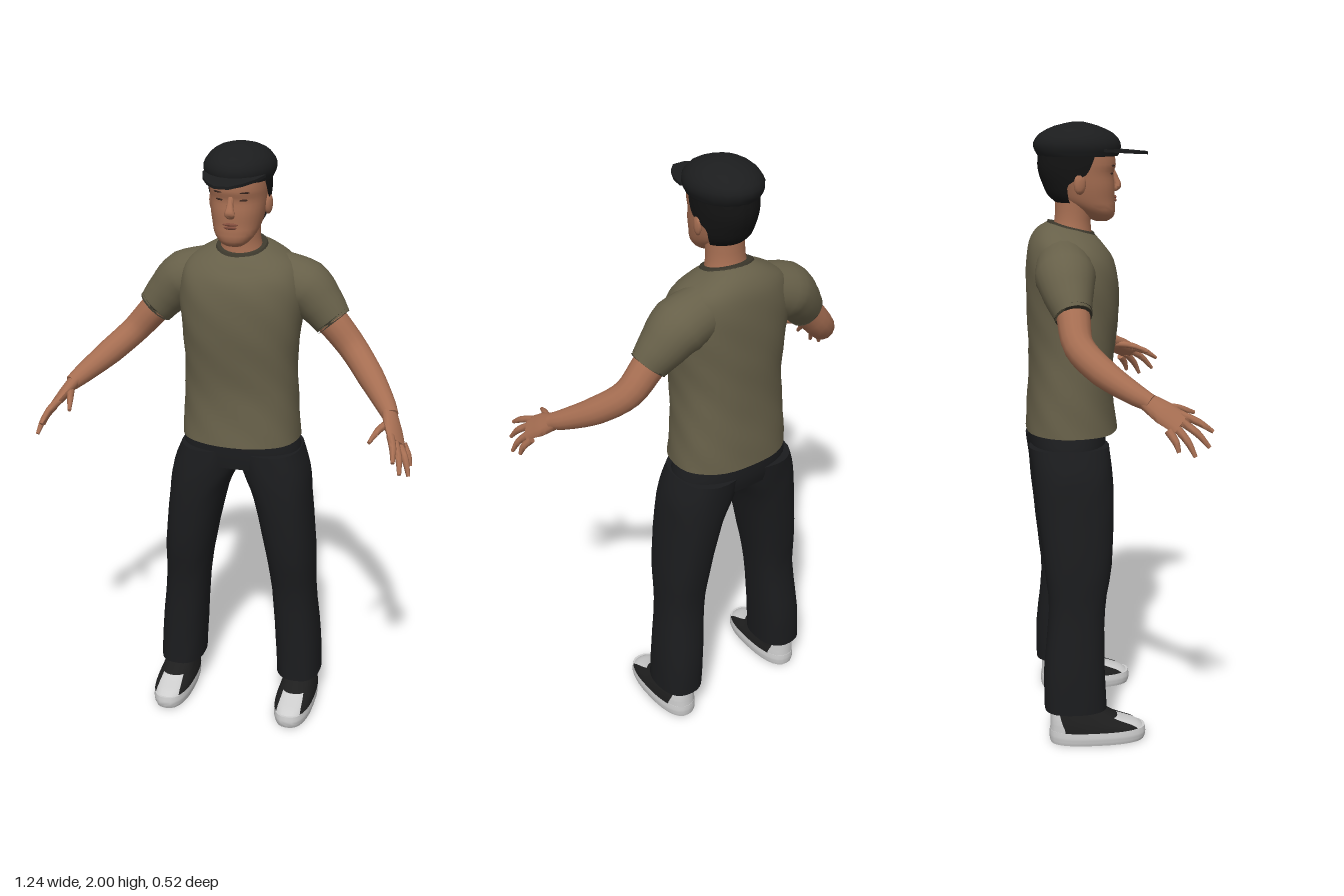
import * as THREE from 'three';
import { toCreasedNormals } from 'three/addons/utils/BufferGeometryUtils.js';

const material = (name, color) => {
  const m = new THREE.MeshStandardMaterial({ color, side: THREE.DoubleSide });
  m.name = name;
  return m;
};

// Skins a list of rings; rings run counterclockwise around the direction of travel.
function skin(rings, closed, caps) {
  const n = rings[0].length, pts = rings.flat(), idx = [];
  for (let r = 0; r < rings.length - 1; r++) {
    for (let i = 0; i < (closed ? n : n - 1); i++) {
      const a = r * n + i, b = r * n + (i + 1) % n;
      idx.push(a, b, a + n, b, b + n, a + n);
    }
  }
  if (caps) [0, rings.length - 1].forEach((r, end) => {
    const c = new THREE.Vector3();
    rings[r].forEach(p => c.addScaledVector(p, 1 / n));
    pts.push(c);
    for (let i = 0; i < n; i++) {
      const a = r * n + i, b = r * n + (i + 1) % n;
      idx.push(pts.length - 1, ...(end ? [a, b] : [b, a]));
    }
  });
  const g = new THREE.BufferGeometry().setFromPoints(pts);
  g.setIndex(idx);
  return g;
}

// Upright loft. Row: y, centre x, front z, back z, half width, tilt, arc start, arc end (degrees from the front).
function loft(rows, { seg = 28, steps = 3, power = 2, fold = 0 } = {}) {
  const full = rows.map(r => [...r, ...[0, 0, 0, 0, 0, 0, 0, 360].slice(r.length)]);
  const closed = rows[0].length < 7, rings = [];
  const e = 2 / power, pow = v => Math.sign(v) * Math.abs(v) ** e;
  const at = k => full[Math.max(0, Math.min(full.length - 1, k))];
  for (let s = 0; s <= (rows.length - 1) * steps; s++) {
    const k = Math.min(Math.floor(s / steps), rows.length - 2), t = s / steps - k;
    const [y, cx, zf, zb, rx, tilt, a0, a1] = full[0].map((_, j) => {
      const [p, q, u, v] = [-1, 0, 1, 2].map(d => at(k + d)[j]);
      return q + 0.5 * t * (u - p + t * (2 * p - 5 * q + 4 * u - v + t * (3 * (q - u) + v - p)));
    });
    const ring = [];
    for (let i = 0; i < seg; i++) {
      const a = THREE.MathUtils.degToRad(a0 + (a1 - a0) * i / (closed ? seg : seg - 1));
      const f = 1 + fold * Math.sin(a * 5 + y * 17) * Math.sin(y * 29 + a * 2);
      ring.push(new THREE.Vector3(cx + rx * f * pow(Math.sin(a)), y + tilt * Math.cos(a),
        (zf + zb) / 2 + (zf - zb) / 2 * f * pow(Math.cos(a))));
    }
    rings.push(ring);
  }
  return skin(rings, closed, closed);
}

// Tapered limb along a curve. Point: x, y, z, radius along ref, other radius.
function limb(points, { ref = [0, 0, 1], seg = 14, steps = 4 } = {}) {
  const curve = new THREE.CatmullRomCurve3(points.map(p => new THREE.Vector3(p[0], p[1], p[2])), false, 'catmullrom');
  const rings = [], total = (points.length - 1) * steps;
  for (let s = 0; s <= total; s++) {
    const c = curve.getPoint(s / total), t = curve.getTangent(s / total);
    const u = new THREE.Vector3(...ref);
    u.addScaledVector(t, -u.dot(t)).normalize();
    const v = t.clone().cross(u);
    const k = Math.min(Math.floor(s / steps), points.length - 2), f = s / steps - k;
    const mix = j => THREE.MathUtils.lerp(points[k][j] ?? points[k][3], points[k + 1][j] ?? points[k + 1][3], f);
    rings.push(Array.from({ length: seg }, (_, i) => {
      const a = i / seg * Math.PI * 2;
      return c.clone().addScaledVector(u, mix(3) * Math.cos(a)).addScaledVector(v, mix(4) * Math.sin(a));
    }));
  }
  return skin(rings, true, true);
}

const ellipsoid = (x, y, z, rx, ry, rz, turn = 0) =>
  new THREE.SphereGeometry(1, 14, 10).scale(rx, ry, rz).rotateY(turn).translate(x, y, z);

export function createModel() {
  const group = new THREE.Group();
  const skinTone = material('skin', 0xa66e52), shirt = material('olive cloth', 0x676049);
  const trim = material('dark olive trim', 0x3d392d), trousers = material('black trousers', 0x1b1c1e);
  const cap = material('black cap', 0x1c1d1e), hair = material('black hair', 0x131313);
  const white = material('shoe white', 0xcdcdcd), black = material('shoe black', 0x1e1e1e);
  const lip = material('lips', 0x86503f), eye = material('eye brown', 0x3a261e);

  const add = (name, geo, mat) => {
    const mesh = new THREE.Mesh(toCreasedNormals(geo, 0.9), mat);
    mesh.name = name;
    group.add(mesh);
  };
  const addPair = (name, geo, mat) => {
    const other = geo.clone().scale(-1, 1, 1);
    other.index.array.reverse();
    add(name + 'Left', geo, mat);
    add(name + 'Right', other, mat);
  };

  // Shirt
  add('shirtBody', loft([
    [1.02, 0, 0.04, -0.26, 0.2], [1.1, 0, 0.03, -0.255, 0.195], [1.2, 0, 0.025, -0.247, 0.19],
    [1.3, 0, 0.035, -0.246, 0.187], [1.4, 0, 0.045, -0.25, 0.195], [1.5, 0, 0.043, -0.252, 0.205],
    [1.57, 0, 0.028, -0.25, 0.2], [1.62, 0, 0.002, -0.24, 0.175, -0.008],
    [1.655, 0, -0.022, -0.215, 0.12, -0.014], [1.672, 0, -0.035, -0.178, 0.08, -0.02]
  ], { seg: 40, power: 2.3, fold: 0.012 }), shirt);
  add('collar', loft([[1.666, 0, -0.028, -0.184, 0.086, -0.02], [1.676, 0, -0.032, -0.18, 0.08, -0.02]], { power: 2.2 }), trim);
  addPair('sleeve', limb([[0.11, 1.565, -0.14, 0.085], [0.2, 1.535, -0.14, 0.094, 0.09],
    [0.255, 1.485, -0.135, 0.077, 0.076], [0.3, 1.432, -0.125, 0.057, 0.063]], { seg: 22 }), shirt);
  addPair('cuff', limb([[0.294, 1.439, -0.126, 0.06, 0.066], [0.302, 1.43, -0.125, 0.058, 0.064]], { seg: 22, steps: 1 }), trim);

  // Trousers
  add('hips', loft([[0.925, 0, 0, -0.24, 0.2], [0.97, 0, 0.003, -0.25, 0.205], [1.035, 0, 0, -0.25, 0.18]], { power: 2.3 }), trousers);
  addPair('trouserLeg', loft([
    [0.115, 0.217, -0.015, -0.22, 0.077], [0.25, 0.21, -0.02, -0.22, 0.078], [0.45, 0.193, -0.018, -0.202, 0.076],
    [0.6, 0.18, 0.005, -0.215, 0.085], [0.8, 0.149, 0.016, -0.235, 0.097], [0.9, 0.122, 0.013, -0.245, 0.112],
    [0.98, 0.1, 0.005, -0.255, 0.105]
  ], { power: 2.4, fold: 0.01 }), trousers);

  // Arms and hands
  addPair('arm', limb([[0.25, 1.475, -0.13, 0.055], [0.3, 1.428, -0.125, 0.052], [0.37, 1.35, -0.115, 0.047],
    [0.44, 1.285, -0.05, 0.044], [0.5, 1.235, 0.03, 0.034], [0.53, 1.21, 0.08, 0.026]]), skinTone);
  addPair('palm', limb([[0.523, 1.217, 0.065, 0.028, 0.022], [0.545, 1.185, 0.115, 0.04, 0.019],
    [0.567, 1.154, 0.165, 0.04, 0.012]], { ref: [0.05, -0.05, -0.06] }), skinTone);
  const fingers = {
    indexFinger: [[0.546, 1.178, 0.165], [0.562, 1.158, 0.215], [0.57, 1.13, 0.258]],
    middleFinger: [[0.558, 1.164, 0.16], [0.58, 1.13, 0.208], [0.59, 1.088, 0.245]],
    ringFinger: [[0.57, 1.15, 0.145], [0.597, 1.11, 0.178], [0.612, 1.066, 0.2]],
    littleFinger: [[0.58, 1.138, 0.125], [0.6, 1.11, 0.143], [0.61, 1.08, 0.152]],
    thumb: [[0.528, 1.195, 0.1], [0.506, 1.19, 0.16], [0.488, 1.17, 0.215]]
  };
  for (const [name, path] of Object.entries(fingers))
    addPair(name, limb(path.map((p, i) => [...p, [0.013, 0.011, 0.006][i]]), { seg: 8, ref: [1, 0, 0] }), skinTone);

  // Neck, head and face
  add('neck', loft([[1.61, 0, -0.035, -0.185, 0.088], [1.655, 0, -0.04, -0.172, 0.072],
    [1.7, 0, -0.042, -0.158, 0.062], [1.77, 0, -0.03, -0.155, 0.062]]), skinTone);
  add('head', loft([
    [1.692, 0, 0.012, -0.03, 0.026], [1.705, 0, 0.03, -0.06, 0.046], [1.73, 0, 0.036, -0.1, 0.066],
    [1.76, 0, 0.034, -0.14, 0.077], [1.8, 0, 0.034, -0.16, 0.085], [1.84, 0, 0.03, -0.178, 0.089],
    [1.87, 0, 0.038, -0.19, 0.091], [1.92, 0, 0.03, -0.19, 0.09]
  ], { power: 2.2 }), skinTone);
  add('nose', limb([[0, 1.852, 0.026, 0.008], [0, 1.822, 0.038, 0.01, 0.011], [0, 1.802, 0.043, 0.013, 0.018],
    [0, 1.789, 0.03, 0.008, 0.012]], { seg: 10 }), skinTone);
  add('upperLip', ellipsoid(0, 1.767, 0.035, 0.025, 0.005, 0.005), lip);
  add('lowerLip', ellipsoid(0, 1.757, 0.035, 0.021, 0.006, 0.005), lip);
  addPair('eye', ellipsoid(0.036, 1.842, 0.021, 0.015, 0.004, 0.004, 0.3), eye);
  addPair('eyebrow', ellipsoid(0.038, 1.866, 0.026, 0.021, 0.0035, 0.004, 0.32), eye);
  addPair('ear', ellipsoid(0.091, 1.812, -0.085, 0.011, 0.033, 0.02, -0.25), skinTone);

  // Hair wraps the back and sides of the head
  add('hair', loft([
    [1.752, 0, 0.02, -0.155, 0.079, 0, 122, 238], [1.775, 0, 0.03, -0.18, 0.087, 0, 116, 244],
    [1.81, 0, 0.035, -0.196, 0.094, 0, 110, 250], [1.838, 0, 0.036, -0.206, 0.097, 0, 82, 278],
    [1.87, 0, 0.038, -0.211, 0.099, 0, 72, 288], [1.92, 0, 0.035, -0.208, 0.098, 0, 62, 298]
  ]), hair);

  // Cap with a pointed brim
  add('capCrown', loft([
    [1.895, 0, 0.045, -0.208, 0.103], [1.91, 0, 0.052, -0.218, 0.11], [1.936, 0, 0.053, -0.224, 0.113],
    [1.965, 0, 0.03, -0.202, 0.096], [1.988, 0, -0.02, -0.155, 0.062], [2, 0, -0.065, -0.1, 0.016]
  ], { seg: 20, steps: 2 }), cap);
  const brim = new THREE.Shape([[-0.1, -0.01], [0.1, -0.01], [0.085, 0.045], [0.056, 0.1], [0.022, 0.138],
    [-0.022, 0.138], [-0.056, 0.1], [-0.085, 0.045]].map(p => new THREE.Vector2(...p)));
  const brimGeo = new THREE.ExtrudeGeometry(brim, { depth: 0.009, bevelEnabled: false })
    .rotateX(Math.PI / 2).rotateX(0.07).translate(0, 1.918, 0);
  add('capBrim', brimGeo, cap);

  // Shoes: flat sole, sloping upper, black side panels and tongue, ankle inside
  addPair('sole', loft([[0, 0.223, 0.108, -0.203, 0.062], [0.02, 0.223, 0.115, -0.206, 0.067],
    [0.045, 0.223, 0.112, -0.205, 0.065]], { power: 2.5 }), white);
  addPair('shoeUpper', loft([[0.04, 0.223, 0.11, -0.204, 0.064], [0.058, 0.223, 0.085, -0.203, 0.062],
    [0.08, 0.223, 0.025, -0.202, 0.056], [0.118, 0.22, -0.045, -0.2, 0.045]], { power: 2.5 }), white);
  for (const [name, from, to] of [['outerPanel', 35, 128], ['innerPanel', 232, 325]])
    addPair(name, loft([[0.046, 0.223, 0.108, -0.207, 0.0665, 0, from, to], [0.059, 0.223, 0.087, -0.206, 0.0645, 0, from, to],
      [0.081, 0.223, 0.028, -0.205, 0.0585, 0, from, to], [0.119, 0.22, -0.042, -0.203, 0.0475, 0, from, to]],
      { seg: 12, power: 2.5 }), black);
  addPair('tongue', loft([[0.084, 0.223, 0.02, -0.203, 0.0575, 0, -50, 50], [0.119, 0.22, -0.04, -0.202, 0.048, 0, -50, 50]],
    { seg: 10, power: 2.5 }), black);
  addPair('ankle', loft([[0.09, 0.22, -0.06, -0.17, 0.04], [0.2, 0.215, -0.065, -0.165, 0.04]], { seg: 14 }), skinTone);
  return group;
}
